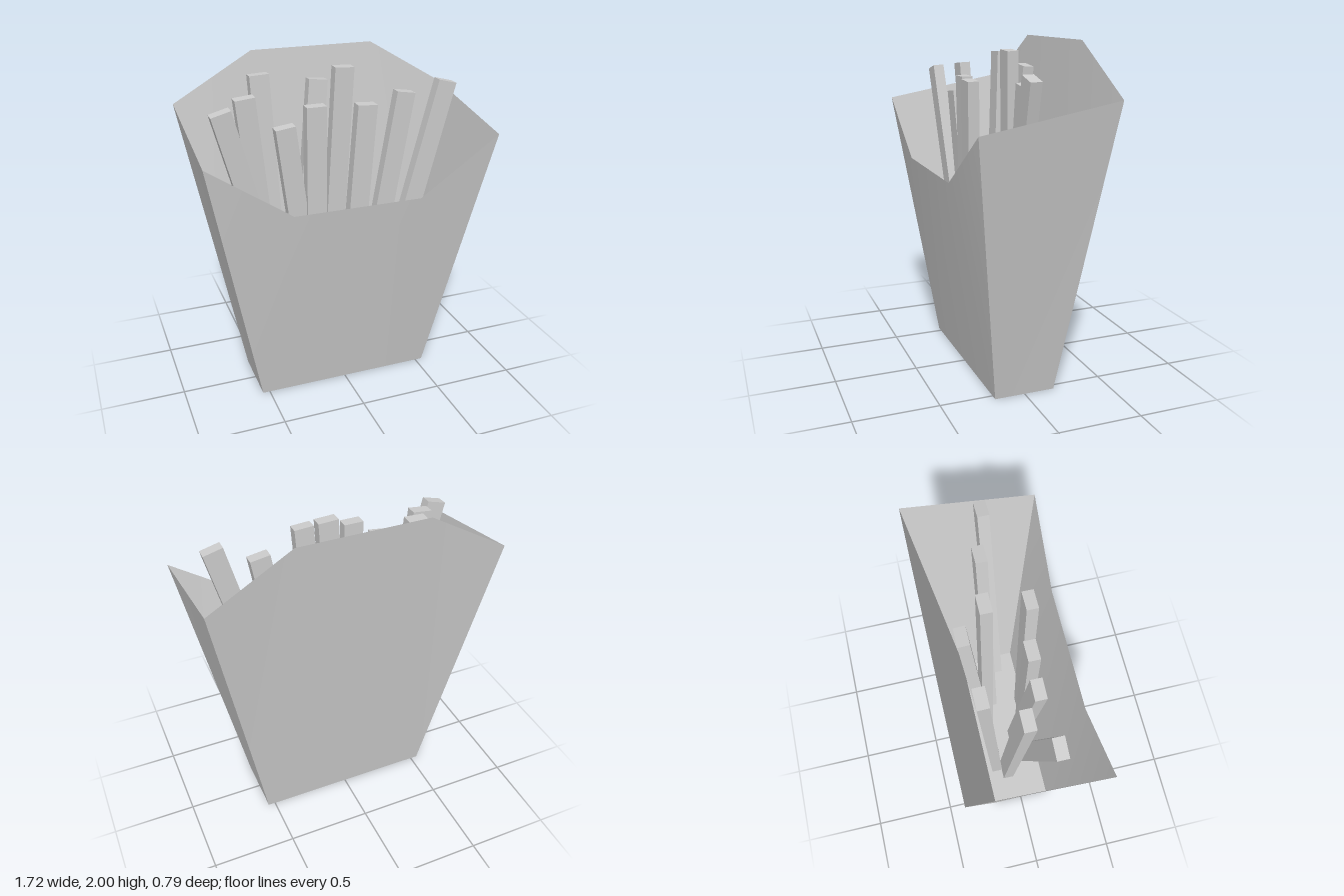
import * as THREE from 'three';

const cardboard = new THREE.MeshStandardMaterial({ color: 0xcccccc, side: THREE.DoubleSide });
const potato = new THREE.MeshStandardMaterial({ color: 0xcccccc, flatShading: true });

// Thin sheet from corner points, with soft normals inside the sheet
function panel(name, points, index) {
  const geo = new THREE.BufferGeometry();
  geo.setAttribute('position', new THREE.Float32BufferAttribute(points.flat(), 3));
  geo.setIndex(index);
  geo.computeVertexNormals();
  const mesh = new THREE.Mesh(geo, cardboard);
  mesh.name = name;
  return mesh;
}

// Stick running from its bottom centre to its top centre
function stick(top, bottom) {
  const a = new THREE.Vector3(...bottom), b = new THREE.Vector3(...top);
  const mesh = new THREE.Mesh(new THREE.BoxGeometry(0.117, a.distanceTo(b), 0.067), potato);
  mesh.position.copy(a).add(b).multiplyScalar(0.5);
  mesh.quaternion.setFromUnitVectors(new THREE.Vector3(0, 1, 0), b.clone().sub(a).normalize());
  mesh.name = 'fry';
  return mesh;
}

export function createModel() {
  const model = new THREE.Group();
  model.name = 'friesCarton';

  // Carton: a tapered, open box with a low front and a high back
  const carton = new THREE.Group();
  carton.name = 'carton';
  const bx = 0.543, bz = 0.183, tx = 0.86, tz = 0.393, mx = 0.38;
  const frontY = 1.58, backY = 1.72;

  // Front and back: flat middle plus a folded triangle at each side
  const wide = (name, s, cornerY, midY) => panel(name, [
    [-s * bx, 0, s * bz], [s * bx, 0, s * bz],
    [s * tx, cornerY, s * tz], [s * mx, midY, s * tz],
    [-s * mx, midY, s * tz], [-s * tx, cornerY, s * tz],
  ], [0, 1, 3, 0, 3, 4, 1, 2, 3, 0, 4, 5]);
  carton.add(wide('frontPanel', 1, frontY, 1.252), wide('backPanel', -1, backY, 2));

  // Sides
  for (const s of [1, -1]) {
    carton.add(panel(s > 0 ? 'leftPanel' : 'rightPanel', [
      [s * bx, 0, bz], [s * bx, 0, -bz], [s * tx, backY, -tz], [s * tx, frontY, tz],
    ], s > 0 ? [0, 1, 2, 0, 2, 3] : [0, 2, 1, 0, 3, 2]));
  }

  // Floor
  carton.add(panel('floor', [
    [-bx, 0, bz], [bx, 0, bz], [bx, 0, -bz], [-bx, 0, -bz],
  ], [0, 2, 1, 0, 3, 2]));
  model.add(carton);

  // Fries: top centre, bottom centre
  const fries = new THREE.Group();
  fries.name = 'fries';
  [
    [[-0.70, 1.79, 0.125], [-0.25, 0.12, 0.05]],
    [[-0.535, 1.825, 0.0], [-0.36, 0.15, -0.06]],
    [[-0.395, 1.90, -0.205], [-0.32, 0.25, -0.13]],
    [[-0.34, 1.67, 0.11], [-0.125, 0.05, 0.05]],
    [[-0.16, 1.775, 0.115], [-0.16, 0.12, 0.085]],
    [[-0.03, 1.84, -0.225], [-0.2, 0.2, -0.12]],
    [[0.08, 1.935, -0.08], [0.0, 0.25, -0.12]],
    [[0.12, 1.775, 0.175], [0.03, 0.3, 0.135]],
    [[0.45, 1.77, -0.025], [0.185, 0.12, -0.05]],
    [[0.685, 1.83, 0.04], [0.32, 0.4, 0.02]],
  ].forEach(([top, bottom]) => fries.add(stick(top, bottom)));
  model.add(fries);

  return model;
}
